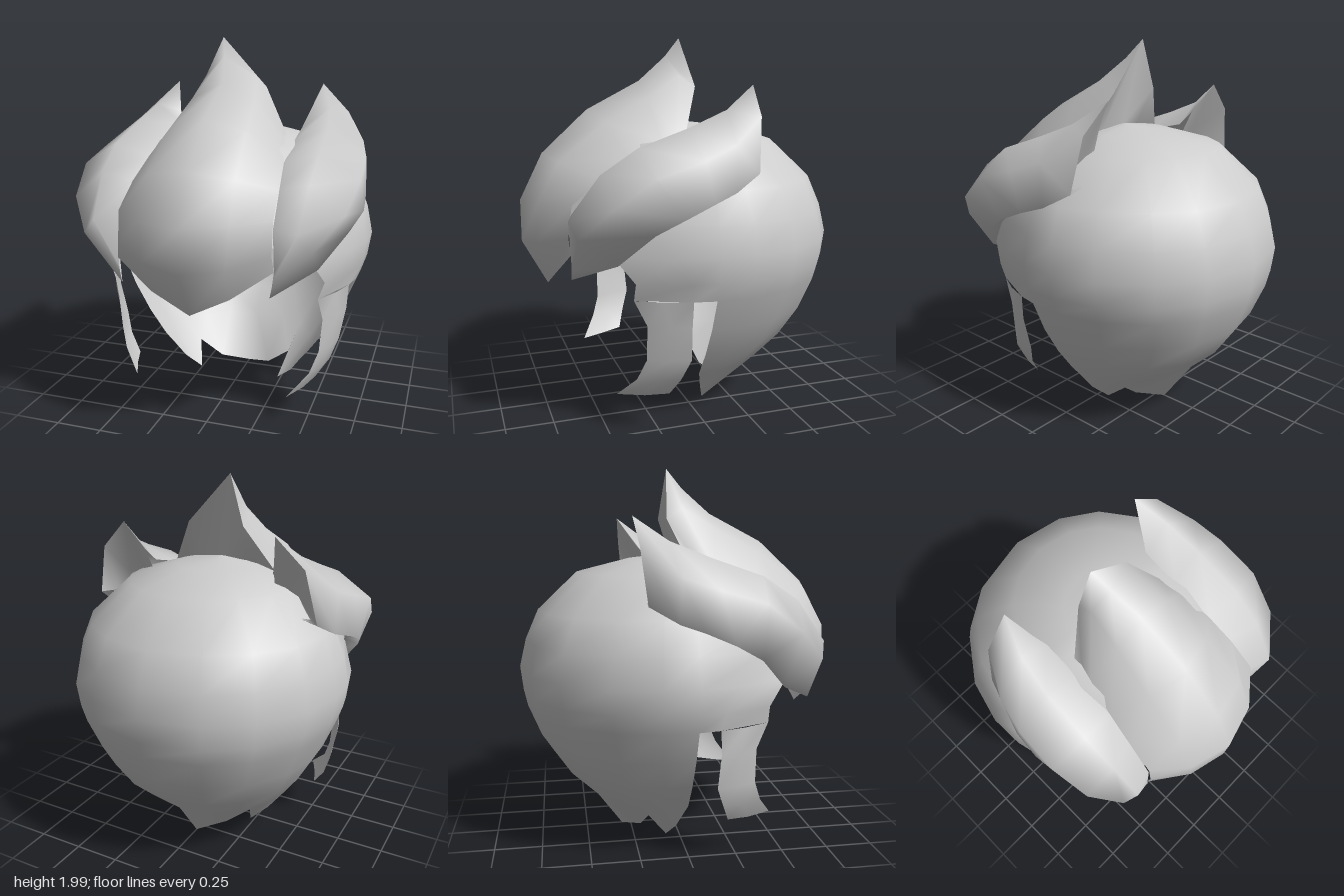
import * as THREE from 'three';
import { mergeGeometries, mergeVertices } from 'three/addons/utils/BufferGeometryUtils.js';

const hairGrey = new THREE.MeshStandardMaterial({ color: 0xcccccc, side: THREE.DoubleSide });
hairGrey.name = 'hairGrey';

const flip = ([x, y, z]) => [-x, y, z];
const mirrorRows = rows => rows.map(r => r.map(flip).reverse());
// half rows run from the middle outwards; result runs from +x to -x
const whole = half => [...half.slice().reverse(), ...half.slice(1).map(flip)];

// Surface through rows of points
function patch(rows) {
  const n = rows[0].length, index = [];
  for (let i = 0; i < rows.length - 1; i++) {
    for (let j = 0; j < n - 1; j++) {
      const a = i * n + j, b = a + 1, c = a + n, d = c + 1;
      index.push(a, b, d, a, d, c);
    }
  }
  const g = new THREE.BufferGeometry();
  g.setAttribute('position', new THREE.Float32BufferAttribute(rows.flat(2), 3));
  g.setIndex(index);
  return g;
}

// Joins patches with smooth normals across their shared edges
function surface(name, ...patches) {
  const g = mergeVertices(mergeGeometries(patches), 1e-4);
  g.computeVertexNormals();
  const mesh = new THREE.Mesh(g, hairGrey);
  mesh.name = name;
  return mesh;
}

// Point on the head at an angle from the back; w = half width, b = reach to the back
function headPoint([y, w, b], deg) {
  const t = THREE.MathUtils.degToRad(deg), c = Math.cos(t), d = b * 0.877;
  return [w * Math.sin(t), y, -b * 0.123 - c * (c > 0 ? d : d * 1.15)];
}

function createScalp() {
  const back = [0, 24, 44, 66, 85, 98];
  const seam = [0.73, 0.7, 0.81];

  // Nape with pointed ends
  const nape = [
    [[0, 0.01, -0.3], [0.15, 0.06, -0.21], [0.28, 0.16, -0.18], [0.24, 0.03, -0.08], [0.33, 0.11, -0.04], [0.39, 0.2, -0.01]],
    ...[[0.26, 0.44, 0.48], [0.4, 0.54, 0.63], [0.56, 0.63, 0.74], seam]
      .map(r => back.map(a => headPoint(r, a))),
  ].map(whole);

  // Dome: level plus the two angles that shape the front edge
  const dome = [
    [seam, 106, 127], [[0.82, 0.73, 0.83], 107, 126], [[0.95, 0.75, 0.845], 112, 134],
    [[1.1, 0.72, 0.81], 125, 160], [[1.26, 0.66, 0.74], 140, 180],
    [[1.46, 0.45, 0.53], 140, 180], [[1.53, 0.22, 0.25], 140, 180], [[1.56, 0.001, 0.001], 140, 180],
  ].map(([r, p, q]) => whole([...back, p, q].map(a => headPoint(r, a))));

  // Sideburns: front, middle and back of each level
  const sideburn = [
    [[0.42, 0.2, 0.45], [0.48, 0.2, 0.32], [0.52, 0.21, 0.2]],
    [[0.52, 0.31, 0.37], [0.57, 0.31, 0.26], [0.59, 0.31, 0.16]],
    [[0.56, 0.42, 0.33], [0.61, 0.42, 0.23], [0.63, 0.42, 0.12]],
    [[0.575, 0.6, 0.33], [0.64, 0.6, 0.23], [0.665, 0.6, 0.13]],
    [headPoint(seam, 127), headPoint(seam, 116), headPoint(seam, 106)],
  ];
  return surface('scalpHair', patch(nape), patch(dome), patch(sideburn), patch(mirrorRows(sideburn)));
}

function createFringe() {
  const rim = [[0, 2, -0.05], [0.16, 1.74, -0.06], [0.3, 1.5, 0.04]];
  const rows = [
    [[0, 0.7, 0.72], [0.2, 0.8, 0.71], [0.4, 0.94, 0.66]],
    [[0, 0.94, 0.85], [0.21, 0.97, 0.8], [0.39, 1.02, 0.67]],
    [[0, 1.16, 0.85], [0.22, 1.17, 0.79], [0.39, 1.18, 0.65]],
    [[0, 1.4, 0.73], [0.22, 1.37, 0.68], [0.38, 1.3, 0.5]],
    [[0, 1.62, 0.49], [0.2, 1.56, 0.44], [0.36, 1.4, 0.34]],
    [[0, 1.77, 0.2], [0.17, 1.69, 0.2], [0.32, 1.48, 0.17]],
    [[0, 1.9, 0.04], [0.14, 1.8, 0.02], [0.3, 1.5, 0.09]],
    rim,
  ];
  const under = [rim, [[0, 1.55, 0.02], [0.14, 1.54, 0.04], [0.25, 1.49, 0.07]]];
  const full = list => list.map(r => whole(r).reverse()
    // the tip leans a little to the right
    .map(([x, y, z]) => [x - 0.08 * Math.max(0, (y - 1.75) / 0.25), y, z]));
  const g = new THREE.Group();
  g.name = 'fringe';
  g.add(surface('fringeTop', patch(full(rows))), surface('fringeTipBack', patch(full(under))));
  return g;
}

function createSideLock(name, mirrored) {
  // Inner edge, crest, outer side and lower edge, from the front tip to the back tip
  const edges = [
    [[0.4, 0.94, 0.66], [0.395, 0.9, 0.66], [0.39, 0.86, 0.66], [0.38, 0.81, 0.66]],
    [[0.39, 1.14, 0.65], [0.51, 1.13, 0.69], [0.58, 1.05, 0.66], [0.57, 0.91, 0.47]],
    [[0.38, 1.3, 0.5], [0.53, 1.34, 0.54], [0.7, 1.2, 0.52], [0.69, 1.07, 0.32]],
    [[0.36, 1.4, 0.34], [0.54, 1.46, 0.36], [0.74, 1.34, 0.33], [0.74, 1.15, 0.18]],
    [[0.35, 1.47, 0.1], [0.53, 1.55, 0.1], [0.73, 1.41, 0.1], [0.73, 1.21, 0.04]],
    [[0.35, 1.52, -0.1], [0.5, 1.63, -0.1], [0.69, 1.47, -0.07], [0.69, 1.25, -0.08]],
    [[0.38, 1.59, -0.16], [0.43, 1.75, -0.27], [0.58, 1.6, -0.25], [0.64, 1.33, -0.22]],
  ];
  // Lower edge turns in to the head
  const rows = edges.map((r, i) => {
    const [x, y, z] = r[3];
    return [...r, i ? [x - 0.08, y + 0.02, z] : [x, y, z]];
  });
  const end = [rows[6],
    [[0.36, 1.45, -0.1], [0.42, 1.47, -0.12], [0.5, 1.43, -0.12], [0.57, 1.33, -0.14], [0.54, 1.34, -0.16]]];
  const side = list => patch(mirrored ? mirrorRows(list) : list);
  const g = new THREE.Group();
  g.name = name;
  g.add(surface('lockTop', side(rows)), surface('lockTipBack', side(end)));
  return g;
}

export function createModel() {
  const model = new THREE.Group();
  model.name = 'hair';
  model.add(createScalp(), createFringe(),
    createSideLock('leftLock', false), createSideLock('rightLock', true));
  return model;
}
